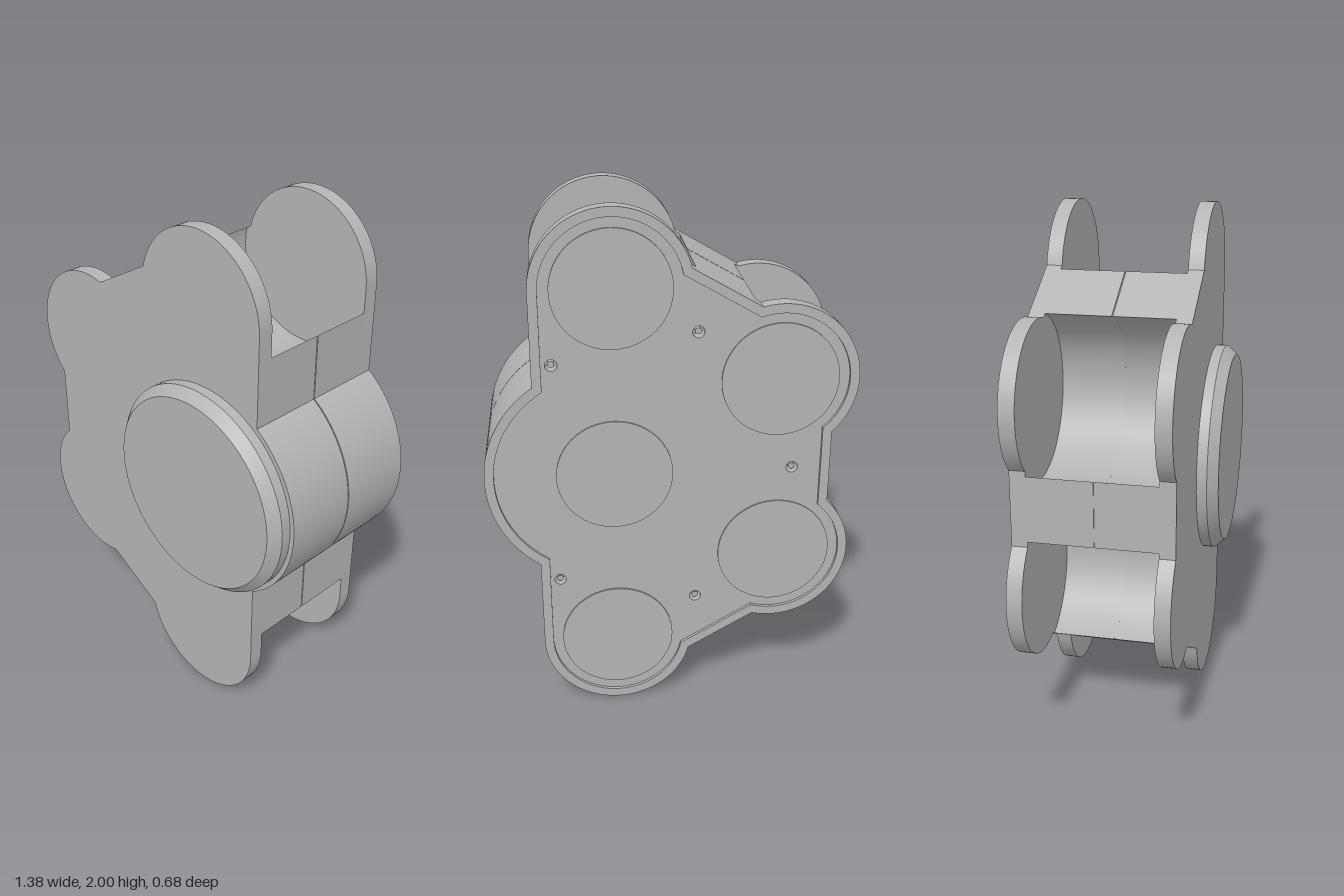
import * as THREE from 'three';
import { toCreasedNormals } from 'three/addons/utils/BufferGeometryUtils.js';

const RAD = Math.PI / 180;
const MID = 1; // height of the mirror line
const LOBES = [[0.21, 0.71], [-0.4, 0.355]]; // upper lobes, y measured from the mirror line
// straight edges: direction of the normal and distance from the origin
const RIGHT = { a: 0, c: 0.5 }, SLANT = { a: 120 * RAD, c: 0.712 }, LEFT = { a: 180 * RAD, c: 0.6 };

// half angle at which a straight edge cuts a circle
function cut(edge, [x, y], r, inset) {
  const s = edge.c - inset - (Math.cos(edge.a) * x + Math.sin(edge.a) * y);
  return Math.acos(Math.min(1, s / r));
}

function arc([x, y], r, a0, a1, n) {
  return Array.from({ length: n + 1 }, (_, i) => {
    const a = a0 + (a1 - a0) * i / n;
    return [x + r * Math.cos(a), y + r * Math.sin(a)];
  });
}

// body outline: lobes bulge out, or are scooped out when pockets is true
function outlinePoints(inset, pockets = false) {
  const hub = [0.25, 0], hubR = 0.44 - inset;
  const half = arc(hub, hubR, 0, cut(RIGHT, hub, hubR, inset), 20);
  const r = pockets ? 0.305 : 0.29 - inset;
  [[RIGHT, SLANT], [SLANT, LEFT]].forEach(([e0, e1], i) => {
    const c = LOBES[i];
    const a0 = e0.a - cut(e0, c, r, inset);
    const a1 = e1.a + cut(e1, c, r, inset) - (pockets ? 2 * Math.PI : 0);
    half.push(...arc(c, r, a0, a1, 36));
  });
  const lower = half.slice(1).reverse().map(([x, y]) => [x, -y]);
  return [...half, ...lower].map(([x, y]) => new THREE.Vector2(x, y + MID));
}

function slab(shape, z0, z1) {
  const g = new THREE.ExtrudeGeometry(shape, { depth: z1 - z0, bevelEnabled: false, curveSegments: 24 });
  g.translate(0, 0, z0);
  return toCreasedNormals(g, 0.45);
}

export function createModel() {
  const group = new THREE.Group();
  const grey = new THREE.MeshStandardMaterial({ color: 0xb4b4b4 });
  grey.name = 'grey';
  const add = (name, geometry) => {
    const mesh = new THREE.Mesh(geometry, grey);
    mesh.name = name;
    group.add(mesh);
    return mesh;
  };

  // core with scooped pockets, split into two halves
  const core = new THREE.Shape(outlinePoints(0, true));
  add('coreFront', slab(core, -0.03, 0.2));
  add('coreBack', slab(core, -0.28, -0.034));
  add('coreSeam', slab(new THREE.Shape(outlinePoints(0.004, true)), -0.034, -0.03));

  // front plate
  add('frontPlate', slab(new THREE.Shape(outlinePoints(0)), 0.2, 0.26));

  // back plate with screw holes, and a raised rim around it
  const screws = [[0.428, 1.44], [0.428, 0.56], [-0.097, 1.547], [-0.097, 0.453], [-0.458, 1]];
  const back = new THREE.Shape(outlinePoints(0));
  for (const [x, y] of screws) {
    back.holes.push(new THREE.Path().absarc(x, y, 0.022, 0, Math.PI * 2, true));
  }
  add('backPlate', slab(back, -0.28, -0.328));
  group.children.pop();
  add('backPlate', slab(back, -0.328, -0.28));
  const rim = new THREE.Shape(outlinePoints(0));
  rim.holes.push(new THREE.Path(outlinePoints(0.035).reverse()));
  add('backRim', slab(rim, -0.34, -0.328));

  // screws sunk into the holes
  for (const [x, y] of screws) {
    const pin = new THREE.CylinderGeometry(0.012, 0.012, 0.035, 16).rotateX(Math.PI / 2);
    add('screw', pin).position.set(x, y, -0.3);
  }

  // round discs on the back
  const discs = [[0.21, 0], ...LOBES, ...LOBES.map(([x, y]) => [x, -y])];
  for (const [x, y] of discs) {
    const disc = new THREE.CylinderGeometry(0.217, 0.217, 0.012, 64).rotateX(Math.PI / 2);
    add('backDisc', disc).position.set(x, y + MID, -0.328);
  }

  // chamfered knob on the front
  const profile = [[0.42, 0], [0.42, 0.04], [0.385, 0.08], [0, 0.08]].map(([x, y]) => new THREE.Vector2(x, y));
  const knob = new THREE.LatheGeometry(profile, 96).rotateX(Math.PI / 2);
  add('knob', toCreasedNormals(knob, 0.4)).position.set(0.252, MID, 0.26);

  return group;
}
